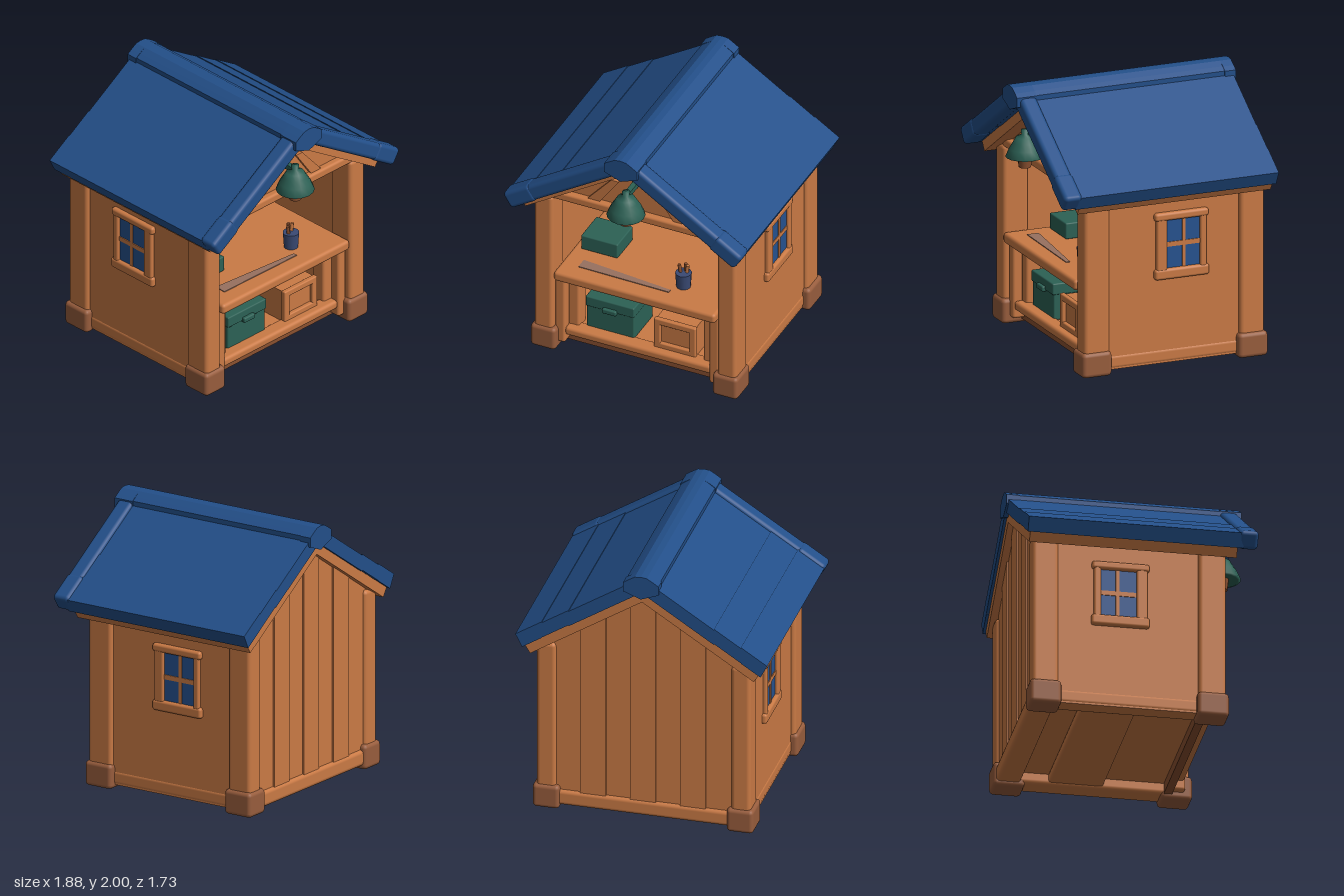
import * as THREE from 'three';
import { RoundedBoxGeometry } from 'three/addons/geometries/RoundedBoxGeometry.js';

const paint = (name, color) => {
  const m = new THREE.MeshStandardMaterial({ color });
  m.name = name;
  return m;
};

export function createModel() {
  const wood = paint('warm wood', 0xca7a45);
  const darkWood = paint('dark wood', 0x8a5030);
  const footBrown = paint('foot brown', 0x985d3d);
  const blue = paint('roof blue', 0x234f89);
  const paneBlue = paint('window blue', 0x26528f);
  const teal = paint('teal', 0x2c6155);
  const metal = paint('tool metal', 0x98715f);
  const navy = paint('cup navy', 0x3a4a74);

  const root = new THREE.Group();
  root.name = 'workshopShed';
  const add = (name, geo, mat, parent = root) => {
    const m = new THREE.Mesh(geo, mat);
    m.name = name;
    parent.add(m);
    return m;
  };
  // Box given by its minimum and maximum on each axis, with optional rounding
  const box = (name, mat, x0, x1, y0, y1, z0, z1, r = 0, parent = root) => {
    const [w, h, d] = [x1 - x0, y1 - y0, z1 - z0];
    const geo = r ? new RoundedBoxGeometry(w, h, d, 2, r) : new THREE.BoxGeometry(w, h, d);
    const m = add(name, geo, mat, parent);
    m.position.set((x0 + x1) / 2, (y0 + y1) / 2, (z0 + z1) / 2);
    return m;
  };
  // Same box placed on side s (+1 or -1) of the x axis
  const sideBox = (name, mat, s, x0, x1, ...rest) =>
    s > 0 ? box(name, mat, x0, x1, ...rest) : box(name, mat, -x1, -x0, ...rest);
  // Front outline extruded from z0 to z1
  const prism = (name, mat, pts, z0, z1, parent = root, hole) => {
    const shape = new THREE.Shape(pts.map(p => new THREE.Vector2(...p)));
    if (hole) shape.holes.push(new THREE.Path(hole.map(p => new THREE.Vector2(...p))));
    const geo = new THREE.ExtrudeGeometry(shape, { depth: z1 - z0, bevelEnabled: false });
    geo.translate(0, 0, z0);
    return add(name, geo, mat, parent);
  };

  // Roof slope lines: height at a distance x from the ridge
  const slope = (top, x) => top - 0.64 * Math.abs(x);
  const slab = (name, mat, s, xa, xb, top, thick, z0, z1, cut = 0.05) => {
    const xe = xb - cut;
    prism(name, mat, [
      [s * xa, slope(top, xa)], [s * xa, slope(top - thick, xa)],
      [s * xe, slope(top - thick, xe)], [s * xb, slope(top, xb)],
    ], z0, z1);
  };

  for (const s of [1, -1]) {
    // Overlapping roof boards, front roll and timber lining
    slab('roofBoardUpper', blue, s, 0, 0.56, 1.985, 0.12, -0.85, 0.72, 0.02);
    slab('roofBoardMiddle', blue, s, 0.54, 0.76, 1.993, 0.12, -0.85, 0.72, 0.02);
    slab('roofBoardLower', blue, s, 0.74, 0.935, 2.0, 0.13, -0.85, 0.72);
    slab('roofLining', wood, s, 0, 0.87, 1.87, 0.09, -0.83, 0.68, 0.04);

    const ang = Math.atan(0.64);
    const roll = (name, xa, xb, h, d) => {
      const m = add(name, new RoundedBoxGeometry((xb - xa) / Math.cos(ang), h, d, 2, 0.03), blue);
      const xm = (xa + xb) / 2;
      m.position.set(s * xm, slope(1.94, xm), 0.755);
      m.rotation.z = -s * ang;
    };
    roll('roofFrontRoll', 0.02, 0.78, 0.125, 0.13);
    roll('roofFrontRollEnd', 0.71, 0.915, 0.135, 0.14);

    // Corner posts and their feet
    sideBox('frontPost', wood, s, 0.65, 0.8, 0.1, 1.33, 0.41, 0.61, 0.03);
    sideBox('backPost', wood, s, 0.65, 0.795, 0.1, 1.33, -0.8, -0.61, 0.03);
    sideBox('frontFoot', footBrown, s, 0.62, 0.82, 0, 0.185, 0.4, 0.63, 0.03);
    sideBox('backFoot', footBrown, s, 0.62, 0.82, 0, 0.185, -0.82, -0.59, 0.03);

    // Side wall with sill beam
    sideBox('sideWall', wood, s, 0.68, 0.765, 0.03, 1.32, -0.7, 0.5);
    sideBox('sideSill', wood, s, 0.62, 0.77, 0.03, 0.14, -0.65, 0.45, 0.03);

    // Window: frame, crossing bars and four panes
    sideBox('windowSill', wood, s, 0.74, 0.8, 0.66, 0.74, -0.37, 0.055, 0.02);
    sideBox('windowHead', wood, s, 0.74, 0.8, 1.1, 1.16, -0.365, 0.055, 0.02);
    sideBox('windowJambFront', wood, s, 0.74, 0.795, 0.7, 1.13, -0.04, 0.04, 0.015);
    sideBox('windowJambBack', wood, s, 0.74, 0.795, 0.7, 1.13, -0.35, -0.3, 0.015);
    sideBox('windowUpright', wood, s, 0.74, 0.778, 0.72, 1.12, -0.19, -0.165);
    sideBox('windowCrossbar', wood, s, 0.74, 0.778, 0.9, 0.935, -0.32, -0.02);
    for (const [z0, z1] of [[-0.3, -0.19], [-0.165, -0.04]])
      for (const [y0, y1] of [[0.74, 0.9], [0.935, 1.1]])
        sideBox('windowPane', paneBlue, s, 0.763, 0.772, y0, y1, z0, z1);

    // Bench supports
    sideBox('benchLeg', wood, s, 0.57, 0.65, 0.05, 0.63, 0.44, 0.57, 0.02);
    sideBox('benchInnerLeg', wood, s, 0.49, 0.58, 0.13, 0.6, 0.38, 0.5, 0.02);
  }

  // Ridge cap with thicker rounded ends
  const ridgeProfile = (w, base, tip) => [
    [-w, base], [0, tip], [w, base], [w, 1.94], [w * 0.72, 1.965], [0.045, 1.995],
    [0, 2], [-0.045, 1.995], [-w * 0.72, 1.965], [-w, 1.94],
  ];
  prism('ridgeCap', blue, ridgeProfile(0.125, 1.89, 1.89), -0.85, 0.8);
  for (const [z0, z1] of [[0.69, 0.845], [-0.865, -0.78]])
    prism('ridgeEnd', blue, ridgeProfile(0.132, 1.87, 1.82), z0, z1);

  // Back wall of upright boards, cut to the gable
  const edges = [-0.66, -0.46, -0.27, -0.09, 0.1, 0.28, 0.47, 0.66];
  for (let i = 0; i < edges.length - 1; i++) {
    const [a, b] = [edges[i], edges[i + 1]];
    const top = [[b, slope(1.8, b)], [a, slope(1.8, a)]];
    if (a < 0 && b > 0) top.splice(1, 0, [0, 1.8]);
    prism('backBoard', wood, [[a, 0.05], [b, 0.05], ...top], -0.775 - (i % 2) * 0.012, -0.7);
  }
  for (const s of [1, -1])
    prism('backGableCorner', wood, [
      [s * 0.65, 1.25], [s * 0.78, 1.25], [s * 0.78, 1.3], [s * 0.65, 1.38],
    ], -0.77, -0.7);
  box('backSill', wood, -0.65, 0.65, 0.03, 0.15, -0.8, -0.62, 0.03);

  // Front gable with tie beam and short braces
  prism('frontGable', wood, [[-0.74, 1.315], [0.74, 1.315], [0, 1.79]], 0.5, 0.55);
  box('tieBeam', wood, -0.7, 0.7, 1.315, 1.385, 0.46, 0.6, 0.02);
  for (const s of [1, -1])
    prism('gableBrace', wood, [
      [s * 0.3, 1.37], [s * 0.4, 1.37], [s * 0.2, 1.6], [s * 0.14, 1.6],
    ], 0.55, 0.575);

  // Floor and front plinth
  box('floor', wood, -0.68, 0.68, 0.11, 0.17, -0.7, 0.48);
  box('floorJoist', wood, -0.66, 0.66, 0.05, 0.12, -0.42, -0.02, 0.02);
  box('frontSill', wood, -0.58, 0.58, 0.115, 0.185, 0.44, 0.56, 0.025);
  box('plinth', darkWood, -0.64, 0.64, 0.03, 0.12, 0.42, 0.48);

  // Workbench
  box('benchTop', wood, -0.64, 0.64, 0.61, 0.69, -0.7, 0.62, 0.025);
  box('benchApron', wood, -0.6, 0.6, 0.52, 0.62, 0.38, 0.46, 0.015);

  // Framed tool board
  box('toolBoard', wood, -0.66, 0.66, 0.68, 1.34, -0.7, -0.64);
  for (const y of [0.69, 1.275]) box('boardRail', wood, -0.65, 0.65, y, y + 0.045, -0.65, -0.6, 0.012);
  for (const x of [-0.65, 0.605]) box('boardStile', wood, x, x + 0.045, 0.69, 1.32, -0.65, -0.6, 0.012);

  const tools = new THREE.Group();
  tools.name = 'hangingTools';
  root.add(tools);
  const z0 = -0.645, z1 = -0.605;
  // Hammer
  prism('hammerHandle', metal, [[-0.44, 0.83], [-0.38, 0.83], [-0.39, 1.13], [-0.43, 1.13]], z0, z1, tools);
  prism('hammerHead', metal, [
    [-0.54, 1.13], [-0.47, 1.12], [-0.35, 1.12], [-0.29, 1.12], [-0.29, 1.17], [-0.38, 1.17], [-0.48, 1.18],
  ], z0, z1 + 0.02, tools);
  // Spanner
  prism('spanner', metal, [
    [-0.22, 0.85], [-0.19, 0.83], [-0.165, 0.85], [-0.135, 0.83], [-0.11, 0.86], [-0.12, 0.91], [-0.135, 0.94],
    [-0.13, 1.06], [-0.1, 1.1], [-0.11, 1.15], [-0.135, 1.17], [-0.16, 1.12], [-0.19, 1.17], [-0.22, 1.14],
    [-0.22, 1.09], [-0.19, 1.06], [-0.19, 0.94], [-0.215, 0.91],
  ], z0, z1, tools);
  // Chisel and blue-handled awl
  prism('chiselHandle', wood, [[0.08, 1.04], [0.13, 1.04], [0.145, 1.15], [0.11, 1.165], [0.08, 1.13]], z0, z1, tools);
  prism('chiselBlade', metal, [[0.085, 1.04], [0.115, 0.91], [0.135, 1.04]], z0, z1, tools);
  prism('awlHandle', blue, [[0.18, 1.04], [0.22, 1.04], [0.245, 1.12], [0.22, 1.165], [0.16, 1.165], [0.145, 1.12]], z0, z1, tools);
  prism('awlBlade', metal, [[0.18, 1.04], [0.205, 0.91], [0.22, 1.04]], z0, z1, tools);
  // Hand saw
  prism('sawBlade', metal, [[0.37, 1.06], [0.43, 0.8], [0.46, 0.79], [0.5, 1.06]], z0, z1 - 0.015, tools);
  prism('sawHandle', footBrown, [[0.36, 1.05], [0.5, 1.06], [0.52, 1.19], [0.35, 1.19]], z0, z1, tools,
    [[0.39, 1.09], [0.39, 1.16], [0.485, 1.16], [0.48, 1.09]]);

  // Saw blade lying flat on the bench
  const flatSaw = prism('benchSaw', metal, [[-0.5, -0.4], [-0.5, -0.49], [0.22, -0.5], [0.22, -0.47]], 0, 0.008);
  flatSaw.rotation.x = -Math.PI / 2;
  flatSaw.position.y = 0.688;

  // Small box and pencil cup on the bench
  box('benchBox', teal, -0.58, -0.29, 0.69, 0.81, 0.02, 0.28, 0.01);
  const cup = add('pencilCup', new THREE.CylinderGeometry(0.06, 0.052, 0.12, 12), navy);
  cup.position.set(0.28, 0.75, 0.38);
  [[-0.025, 0.15], [0.02, -0.12], [0.005, 0.02]].forEach(([dx, tilt], i) => {
    const p = add('pencil', new THREE.CylinderGeometry(0.013, 0.013, 0.12, 6), i === 1 ? wood : darkWood);
    p.position.set(0.28 + dx, 0.81, 0.38 - 0.015 * i);
    p.rotation.z = tilt;
  });

  // Storage chest and crate under the bench
  box('chestBody', teal, -0.445, -0.07, 0.17, 0.37, 0.15, 0.47, 0.01);
  box('chestLid', teal, -0.45, -0.065, 0.36, 0.445, 0.145, 0.48, 0.01);
  box('chestLatch', teal, -0.31, -0.2, 0.35, 0.39, 0.46, 0.505, 0.01);
  box('crateBody', wood, 0.11, 0.42, 0.17, 0.42, 0.2, 0.47);
  for (const y of [0.175, 0.38]) box('crateRail', wood, 0.1, 0.43, y, y + 0.05, 0.46, 0.5, 0.01);
  for (const x of [0.1, 0.38]) box('crateStile', wood, x, x + 0.05, 0.18, 0.43, 0.46, 0.5, 0.01);

  // Hanging lamp
  const lamp = new THREE.Group();
  lamp.name = 'lamp';
  lamp.position.set(-0.015, 0, 0.72);
  root.add(lamp);
  const shade = [[0, 1.655], [0.028, 1.65], [0.025, 1.615], [0.065, 1.595], [0.085, 1.56], [0.115, 1.51], [0.14, 1.45], [0.12, 1.445], [0, 1.46]];
  add('lampShade', new THREE.LatheGeometry(shade.map(p => new THREE.Vector2(...p)).reverse(), 16), teal, lamp);
  const bulb = add('lampBulb', new THREE.CylinderGeometry(0.055, 0.045, 0.09, 12), darkWood, lamp);
  bulb.position.y = 1.415;
  box('lampArm', teal, -0.02, 0.02, 1.59, 1.63, -0.17, 0, 0, lamp);

  return root;
}
